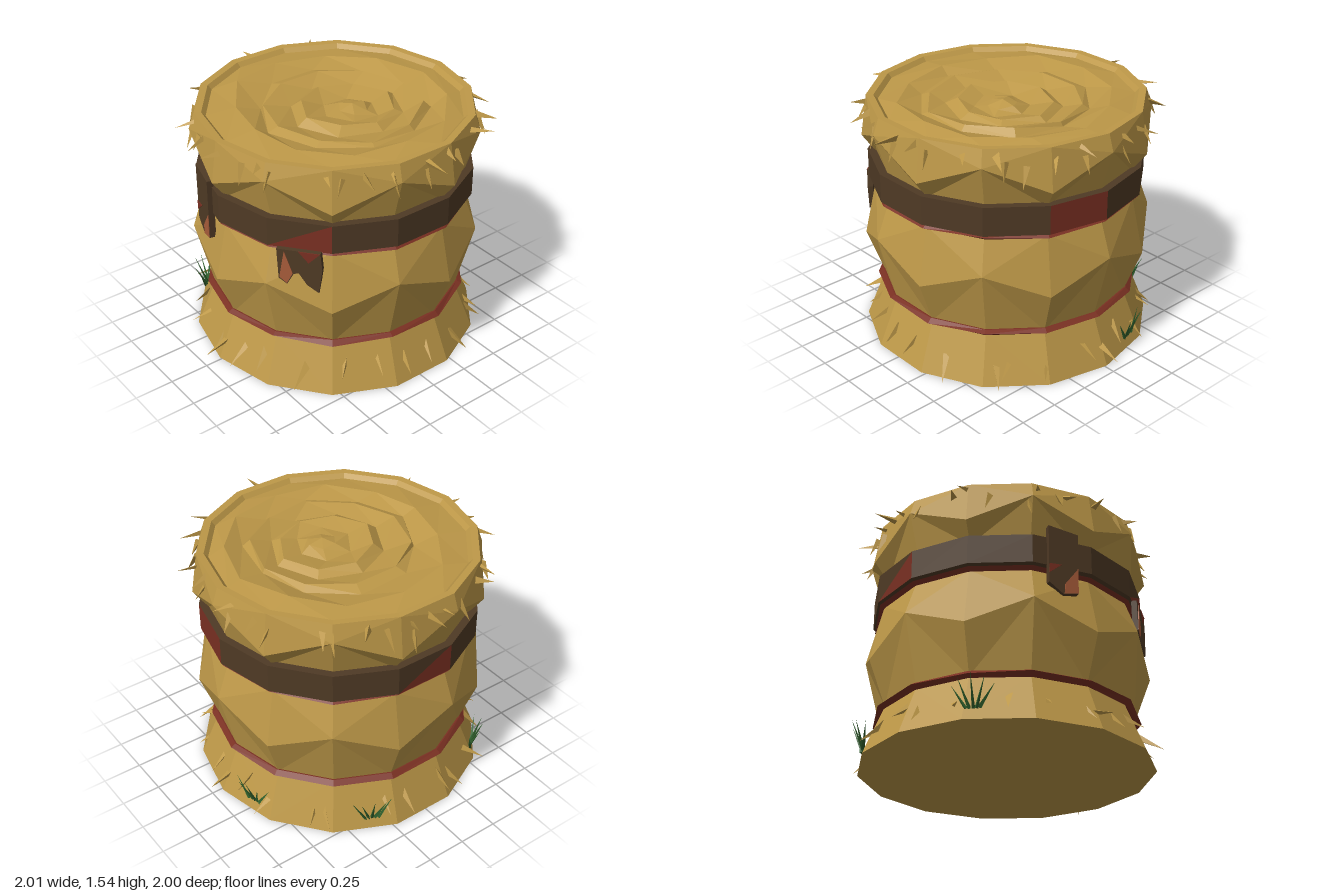
import * as THREE from 'three';
import { mergeGeometries } from 'three/addons/utils/BufferGeometryUtils.js';

const N = 14;
const material = (name, color, extra = {}) => {
  const m = new THREE.MeshStandardMaterial({ color, ...extra });
  m.name = name;
  return m;
};

// small seeded random
let seed = 7;
const rnd = (a = 0, b = 1) => {
  seed = (seed * 16807) % 2147483647;
  return a + (b - a) * (seed / 2147483647);
};

// point at an angle measured from the front (+z) toward +x
const polar = (a, r, y) => new THREE.Vector3(Math.sin(a) * r, y, Math.cos(a) * r);
const deg = THREE.MathUtils.degToRad;

// ring of n points; y and r may depend on the index
const ring = (y, r, n = N, cx = 0, cz = 0) => Array.from({ length: n }, (_, i) =>
  polar((i / n) * Math.PI * 2, typeof r === 'function' ? r(i) : r, typeof y === 'function' ? y(i) : y)
    .add(new THREE.Vector3(cx, 0, cz)));

// wall between two equal rings; diag(i) picks the split of each quad
function wall(tris, lo, hi, diag = () => true) {
  lo.forEach((a, i) => {
    const j = (i + 1) % lo.length, b = lo[j], c = hi[j], d = hi[i];
    if (diag(i)) tris.push(a, b, c, a, c, d);
    else tris.push(a, b, d, b, c, d);
  });
}

// skin between an outer and an inner ring with different counts
function stitch(tris, A, B) {
  let i = 0, j = 0;
  const a = (k) => A[k % A.length], b = (k) => B[k % B.length];
  while (i < A.length || j < B.length) {
    if ((i + 1) / A.length <= (j + 1) / B.length) { tris.push(a(i), a(i + 1), b(j)); i++; }
    else { tris.push(a(i), b(j + 1), b(j)); j++; }
  }
}

function facets(name, points, mat) {
  const g = new THREE.BufferGeometry().setFromPoints(points);
  g.computeVertexNormals();
  return named(name, g, mat);
}

function named(name, geometry, mat) {
  const m = new THREE.Mesh(geometry, mat);
  m.name = name;
  return m;
}

// pointed straw or blade starting at a point and leaning along a direction
function spike(from, dir, length, radius, sides) {
  const g = new THREE.ConeGeometry(radius, length, sides, 1).toNonIndexed();
  g.translate(0, length / 2 - 0.02, 0).rotateY(rnd(0, 6)).scale(1, 1, 0.7);
  g.applyQuaternion(new THREE.Quaternion().setFromUnitVectors(new THREE.Vector3(0, 1, 0), dir.clone().normalize()));
  g.translate(from.x, from.y, from.z);
  g.computeVertexNormals();
  return g;
}

// extruded cloth plate facing +z
function plate(name, pts, z, depth, mat) {
  const shape = new THREE.Shape(pts.map(([x, y]) => new THREE.Vector2(x, y)));
  const g = new THREE.ExtrudeGeometry(shape, { depth, bevelEnabled: false });
  return named(name, g.translate(0, 0, z), mat);
}

export function createModel() {
  const hay = material('hay', 0xbd9848);
  const brown = material('dark cloth', 0x4f3a25);
  const red = material('red cloth', 0x7a3022);
  const rust = material('rust cloth', 0xa85c3a);
  const green = material('grass green', 0x2f5f2c);
  const bale = new THREE.Group();
  bale.name = 'hayBale';
  bale.position.set(-0.015, 0, -0.02);

  // bale sides: flared foot, zigzag belly, zigzag upper lip
  const odd = (i) => i % 2 === 1, even = (i) => i % 2 === 0;
  const rings = [
    ring(0, 0.91), ring(0.31, 0.785),
    ring((i) => (odd(i) ? 0.75 : 0.6), 0.895),
    ring(0.97, 0.815), ring(1.15, 0.8),
    ring((i) => (odd(i) ? 1.43 : 1.27), (i) => (odd(i) ? 0.885 : 0.89)),
    ring(1.535, 0.85),
  ];
  const side = [];
  for (let k = 0; k < rings.length - 1; k++)
    wall(side, rings[k], rings[k + 1], k === 2 || k === 5 ? odd : even);
  const base = new THREE.Vector3(0, 0, 0);
  rings[0].forEach((p, i) => side.push(base, rings[0][(i + 1) % N], p));
  bale.add(facets('baleSide', side, hay));

  // coiled top: uneven rings stepping up and down around an off-centre eye
  const coil = [rings[6], ring(1.532, 0.805), ring(1.505, 0.78)];
  [[0.64, 1.525, 12], [0.51, 1.485, 10], [0.47, 1.515, 10], [0.34, 1.475, 8], [0.29, 1.51, 8],
    [0.17, 1.48, 6], [0.09, 1.5, 6]].forEach(([r, y, n]) => {
    const k = 1 - r / 0.8;
    coil.push(ring(() => y + rnd(-0.012, 0.012), () => r * rnd(0.95, 1.07), n, 0.1 * k, -0.07 * k));
  });
  const top = [];
  for (let k = 0; k < coil.length - 1; k++) stitch(top, coil[k], coil[k + 1]);
  const eye = new THREE.Vector3(0.09, 1.525, -0.06), last = coil[coil.length - 1];
  last.forEach((p, i) => top.push(p, last[(i + 1) % last.length], eye));
  bale.add(facets('coiledTop', top, hay));

  // cloth band with patched red sections
  const lo = ring(0.995, 0.857), hi = ring(1.178, 0.857);
  const loIn = ring(0.995, 0.77), hiIn = ring(1.178, 0.77);
  const dark = [], patch = [];
  lo.forEach((a, i) => {
    const j = (i + 1) % N, half = i === 1 || i === 10;
    (half || i === 6 ? patch : dark).push(a, lo[j], hi[j]);
    (i === 6 ? patch : dark).push(a, hi[j], hi[i]);
  });
  wall(dark, hi, hiIn);
  wall(dark, loIn, lo);
  bale.add(facets('clothBand', dark, brown), facets('bandPatches', patch, red));

  // cords: thin rings with a pointed, slightly wavy section
  const cord = (name, y, r) => {
    const t = [];
    const bottom = ring(y - 0.02, r - 0.035), mid = ring(() => y + rnd(-0.009, 0.009), r), up = ring(y + 0.02, r - 0.03);
    const inLo = ring(y - 0.018, r - 0.09), inHi = ring(y + 0.018, r - 0.09);
    wall(t, inLo, bottom); wall(t, bottom, mid); wall(t, mid, up); wall(t, up, inHi);
    bale.add(facets(name, t, red));
  };
  cord('lowerCord', 0.315, 0.83);
  cord('upperCord', 0.972, 0.845);

  // hanging strap over the band
  const strap = new THREE.Group();
  strap.name = 'hangingStrap';
  strap.rotation.y = -Math.PI / N;
  strap.add(
    plate('strapCloth', [[-0.1, 1.245], [-0.1, 0.87], [-0.01, 0.805], [0.085, 0.825], [0.09, 1.22]], 0.825, 0.04, brown),
    plate('strapRustTear', [[0.0, 0.875], [-0.005, 0.81], [0.084, 0.828], [0.086, 0.99]], 0.865, 0.004, rust),
    plate('strapRedTear', [[-0.099, 0.99], [-0.099, 0.93], [-0.02, 0.995]], 0.865, 0.004, red));
  bale.add(strap);

  // torn tatters below the band
  const tatters = new THREE.Group();
  tatters.name = 'tornTatters';
  tatters.rotation.y = (3 * Math.PI) / N;
  tatters.add(
    plate('tatterCloth', [[-0.13, 1.0], [-0.12, 0.8], [-0.07, 0.765], [-0.03, 0.84], [0.0, 0.85], [0.05, 0.775],
      [0.12, 0.73], [0.14, 0.89], [0.13, 1.0]], 0.83, 0.035, brown),
    plate('tatterRust', [[-0.085, 0.99], [-0.115, 0.81], [-0.07, 0.772], [-0.035, 0.845]], 0.865, 0.004, rust),
    plate('tatterRed', [[0.0, 1.0], [0.06, 0.93], [0.128, 1.0]], 0.865, 0.004, red));
  bale.add(tatters);

  // loose straws around the foot and the upper lip
  const straws = [];
  const strawRow = (count, y0, y1, radius, drop0, drop1, len0, len1) => {
    for (let i = 0; i < count; i++) {
      const a = ((i + rnd(0.1, 0.9)) / count) * Math.PI * 2, y = rnd(y0, y1);
      const dir = polar(a + rnd(-0.5, 0.5), 1, -rnd(drop0, drop1));
      straws.push(spike(polar(a, radius(y), y), dir, rnd(len0, len1), rnd(0.02, 0.032), 3));
    }
  };
  strawRow(24, 0.11, 0.19, (y) => 0.885 - y * 0.4, 0.4, 1.1, 0.13, 0.19);
  strawRow(20, 1.46, 1.5, () => 0.85, -0.05, 0.4, 0.1, 0.16);
  strawRow(18, 1.4, 1.48, () => 0.86, 1.2, 2.6, 0.1, 0.15);
  // longest straws, one toward each side
  [[90, 1.485, 0.17], [270, 1.48, 0.15], [0, 0.12, 0.17], [180, 0.12, 0.16]].forEach(([d, y, l]) =>
    straws.push(spike(polar(deg(d), 0.85, y), polar(deg(d), 1, y < 1 ? -0.35 : 0), l + 0.015, 0.028, 3)));
  bale.add(named('looseStraws', mergeGeometries(straws), hay));

  // grass tufts at the foot
  [312, 247, 197].forEach((d) => {
    const blades = [];
    for (let i = -2; i <= 2; i++) {
      const a = deg(d + i * 1.6), out = polar(a + i * 0.75, 0.4 + Math.abs(i) * 0.1, 1);
      blades.push(spike(polar(a, 0.88, 0.09), out, 0.21 - Math.abs(i) * 0.02, 0.014, 3));
    }
    bale.add(named('grassTuft', mergeGeometries(blades), green));
  });

  const model = new THREE.Group();
  model.name = 'strawTarget';
  model.add(bale);
  return model;
}
